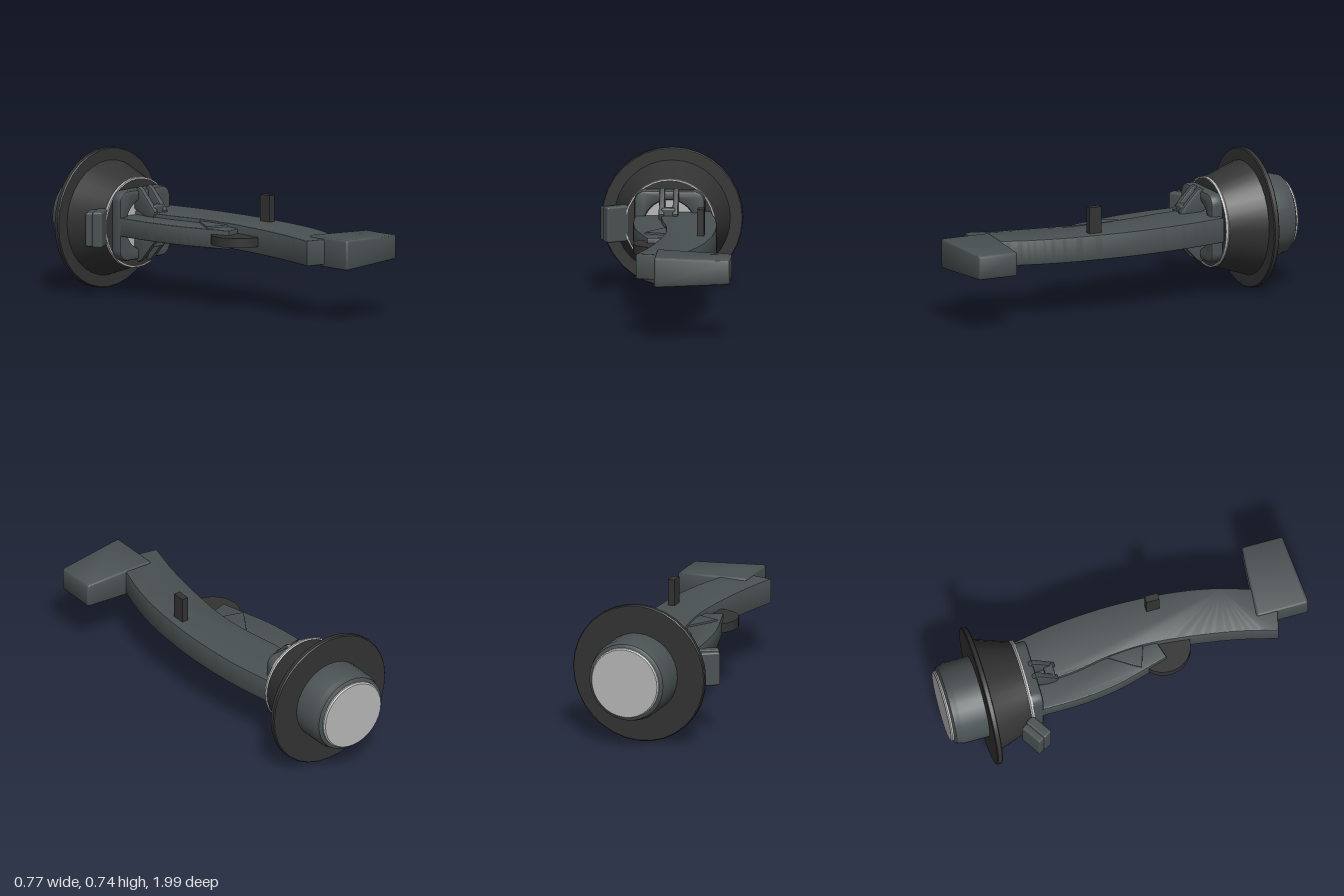
import * as THREE from 'three';
import { toCreasedNormals } from 'three/addons/utils/BufferGeometryUtils.js';
import { RoundedBoxGeometry } from 'three/addons/geometries/RoundedBoxGeometry.js';

const CX = -0.015, CY = 0.37; // axis of the round housing

export function createModel() {
  const root = new THREE.Group();
  root.name = 'pedalArmAssembly';
  const mat = (name, color) => {
    const m = new THREE.MeshStandardMaterial({ color });
    m.name = name;
    return m;
  };
  const grey = mat('slate grey', 0x4a5152);
  const black = mat('soft black', 0x333333);
  const light = mat('light grey', 0xb8b8b8);

  const add = (name, geo, material, x = 0, y = 0, z = 0) => {
    const m = new THREE.Mesh(geo, material);
    m.name = name;
    m.position.set(x, y, z);
    root.add(m);
    return m;
  };
  const vecs = pts => pts.map(p => new THREE.Vector2(p[0], p[1]));

  // Bevelled extrusion that keeps the shape's own outline and total depth
  const extrude = (shape, depth, bevel = 0.01) => toCreasedNormals(
    new THREE.ExtrudeGeometry(shape, {
      depth: depth - 2 * bevel, bevelEnabled: true, bevelSize: bevel,
      bevelThickness: bevel, bevelOffset: -bevel, bevelSegments: 2, curveSegments: 20,
    }).translate(0, 0, bevel), 0.6);

  // Slab drawn in plan as (x, z), spanning y0 to y1
  const slab = (name, shape, y0, y1, material, bevel) =>
    add(name, extrude(shape, y1 - y0, bevel).rotateX(Math.PI / 2), material, 0, y1, 0);

  // Part turned about the housing axis, profile as (radius, z)
  const turned = (name, pts, material) => {
    const g = new THREE.LatheGeometry(vecs(pts), 32).rotateX(Math.PI / 2);
    return add(name, toCreasedNormals(g, 0.6), material, CX, CY, 0);
  };

  // Round housing, from back to front
  turned('motorBody', [[0, -0.985], [0.19, -0.985], [0.207, -0.975], [0.212, -0.95],
    [0.218, -0.935], [0.218, -0.79], [0, -0.79]], grey);
  turned('motorEndCap', [[0, -1], [0.183, -1], [0.19, -0.993], [0.19, -0.98], [0, -0.98]], light);
  turned('flange', [[0, -0.8], [0.365, -0.8], [0.37, -0.795], [0.37, -0.775],
    [0.365, -0.77], [0, -0.77]], black);
  turned('coneHousing', [[0.305, -0.775], [0.235, -0.57], [0.232, -0.558], [0, -0.558]], black);
  turned('trimRing', [[0.236, -0.572], [0.24, -0.565], [0.238, -0.553],
    [0.231, -0.553], [0.231, -0.565]], light);

  // Rounded square bracket around a light disc
  const half = 0.185, r = 0.06;
  const frame = new THREE.Shape();
  frame.moveTo(-half + r, -half);
  [[1, -1], [1, 1], [-1, 1], [-1, -1]].forEach(([sx, sy], i) => {
    const a = -Math.PI / 2 + i * Math.PI / 2;
    frame.absarc(sx * (half - r), sy * (half - r), r, a, a + Math.PI / 2, false);
  });
  frame.holes.push(new THREE.Path().absarc(0, 0, 0.135, 0, Math.PI * 2, true));
  add('mountBracket', extrude(frame, 0.07, 0.015), grey, CX, CY, -0.565);
  add('bracketDisc', new THREE.CylinderGeometry(0.15, 0.15, 0.03, 32).rotateX(Math.PI / 2),
    light, CX, CY, -0.54);

  // Forked lugs above and below the axis
  const lug = [[-0.53, 0.545], [-0.5, 0.57], [-0.475, 0.555], [-0.4, 0.475], [-0.378, 0.45],
    [-0.385, 0.42], [-0.44, 0.41], [-0.53, 0.45]];
  for (const side of [1, -1]) {
    const shape = new THREE.Shape(vecs(lug.map(([z, y]) => [z, CY + side * (y - CY)])));
    for (const x of [-0.051, 0.021]) {
      add('lugProng', extrude(shape, 0.028, 0.006).rotateY(-Math.PI / 2), grey, x + 0.014, 0, 0);
    }
    add('lugCrossbar', new RoundedBoxGeometry(0.075, 0.06, 0.05, 2, 0.01),
      grey, CX, CY + side * 0.08, -0.415);
  }

  // Long curved arm
  const arm = new THREE.Shape();
  arm.moveTo(0.2, -0.55);
  arm.splineThru(vecs([[0.24, -0.3], [0.258, 0], [0.243, 0.3], [0.2, 0.55], [0.12, 0.8]]));
  arm.lineTo(0.09, 0.85);
  arm.lineTo(-0.115, 0.8);
  arm.splineThru(vecs([[-0.06, 0.58], [-0.018, 0.32], [0, 0.1], [-0.012, -0.1],
    [-0.045, -0.3], [-0.06, -0.55]]));
  slab('curvedArm', arm, 0.305, 0.44, grey, 0.008);

  // Shorter lever beside it, with its raised step and roller
  const lever = new THREE.Shape();
  lever.moveTo(0.05, -0.53);
  lever.lineTo(0.05, 0.16);
  lever.lineTo(-0.09, 0.2);
  lever.splineThru(vecs([[-0.13, 0.06], [-0.17, -0.1], [-0.193, -0.3], [-0.195, -0.53]]));
  slab('sideLever', lever, 0.32, 0.42, grey, 0.008);
  const step = new THREE.Shape(vecs([[0.04, -0.18], [0.04, 0.11], [-0.112, 0.06], [-0.09, 0.02]]));
  slab('leverStep', step, 0.311, 0.43, grey, 0.004);
  add('roller', new THREE.CylinderGeometry(0.145, 0.145, 0.05, 32), black, -0.02, 0.37, 0.2);

  // Foot block: thick at its inner end, thinner at its outer end
  const foot = new RoundedBoxGeometry(0.395, 0.16, 0.285, 3, 0.015);
  const p = foot.attributes.position;
  for (let i = 0; i < p.count; i++) {
    const t = p.getX(i) / 0.395 + 0.5;
    p.setY(i, p.getY(i) * (1 - 0.2 * t));
    p.setZ(i, p.getZ(i) * (1 - 0.22 * t));
  }
  foot.computeVertexNormals();
  add('footBlock', toCreasedNormals(foot, 0.6), grey, 0.186, 0.371, 0.852);

  // Upright post on the arm
  add('post', new THREE.BoxGeometry(0.036, 0.16, 0.07), black, 0.19, 0.5, 0.2);

  // Angled connector box on the side of the cone
  const box = new THREE.Group();
  box.name = 'connectorBox';
  box.position.set(-0.305, CY, -0.567);
  box.rotation.y = 0.57;
  const shell = new THREE.Mesh(new RoundedBoxGeometry(0.135, 0.19, 0.055, 2, 0.012), grey);
  shell.name = 'connectorShell';
  shell.position.z = 0.018;
  const back = new THREE.Mesh(new RoundedBoxGeometry(0.125, 0.18, 0.04, 2, 0.01), grey);
  back.name = 'connectorBack';
  back.position.z = -0.025;
  box.add(shell, back);
  root.add(box);

  return root;
}
